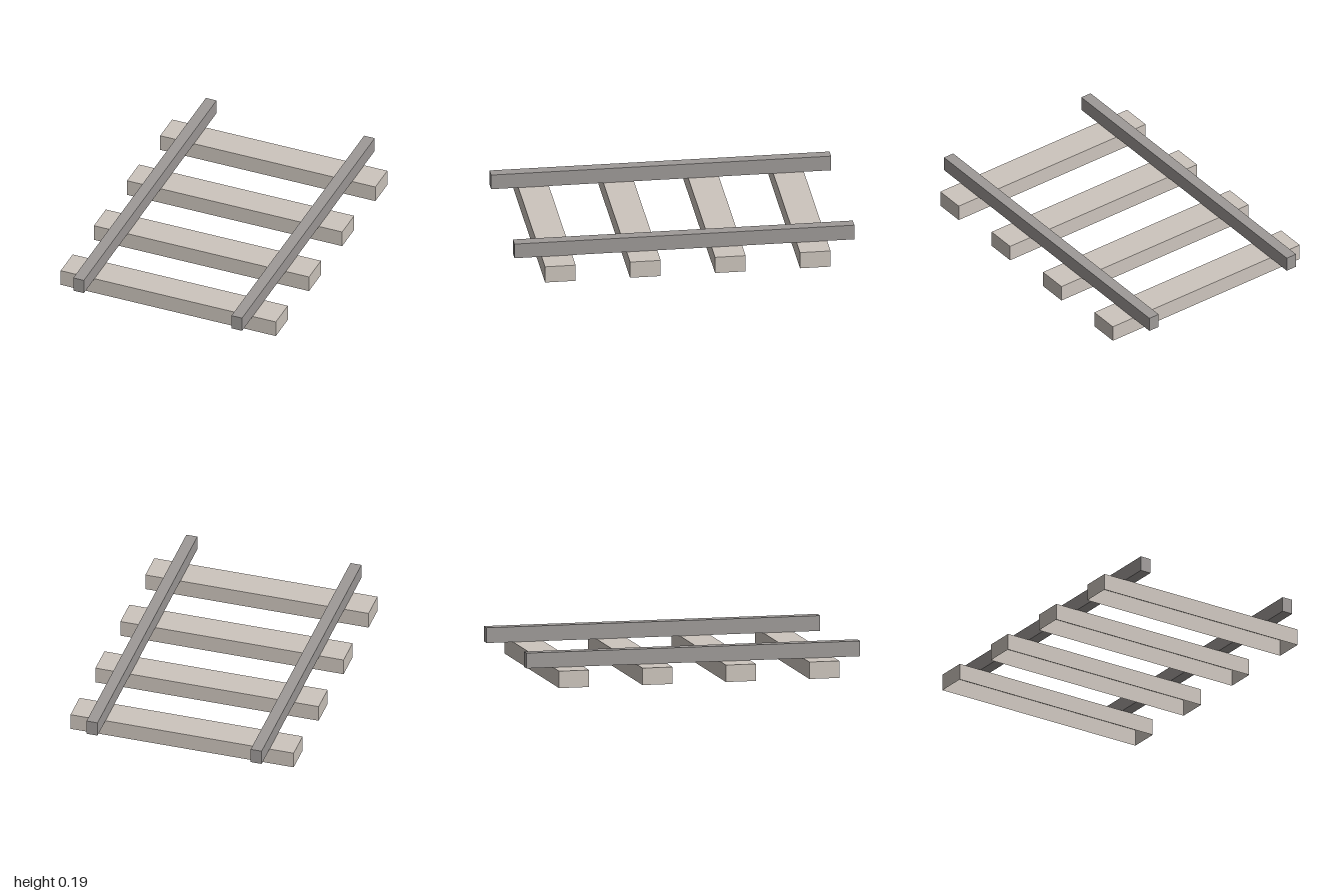
import * as THREE from 'three';

const sleeperMaterial = new THREE.MeshStandardMaterial({ color: 0xcdc5bd, side: THREE.DoubleSide });
const railMaterial = new THREE.MeshStandardMaterial({ color: 0x9e9a98 });

// Box without its underside (the fourth face of the box is removed)
function openBottomBox(w, h, d) {
  const geometry = new THREE.BoxGeometry(w, h, d);
  const index = Array.from(geometry.index.array);
  index.splice(18, 6);
  geometry.setIndex(index);
  geometry.clearGroups();
  return geometry;
}

function addPart(parent, name, geometry, material, x, y, z) {
  const mesh = new THREE.Mesh(geometry, material);
  mesh.name = name;
  mesh.position.set(x, y, z);
  parent.add(mesh);
}

export function createModel() {
  const track = new THREE.Group();
  track.name = 'railTrack';

  // Four hollow cross sleepers, open underneath
  const sleeper = openBottomBox(1.36, 0.1, 0.18);
  [0.75, 0.25, -0.25, -0.75].forEach((z, i) =>
    addPart(track, `sleeper${i + 1}`, sleeper, sleeperMaterial, 0, 0.05, z));

  // Two rails resting on the sleepers
  const rail = new THREE.BoxGeometry(0.067, 0.09, 2);
  for (const side of [1, -1])
    addPart(track, side > 0 ? 'leftRail' : 'rightRail', rail, railMaterial, side * 0.5, 0.145, 0);

  return track;
}
